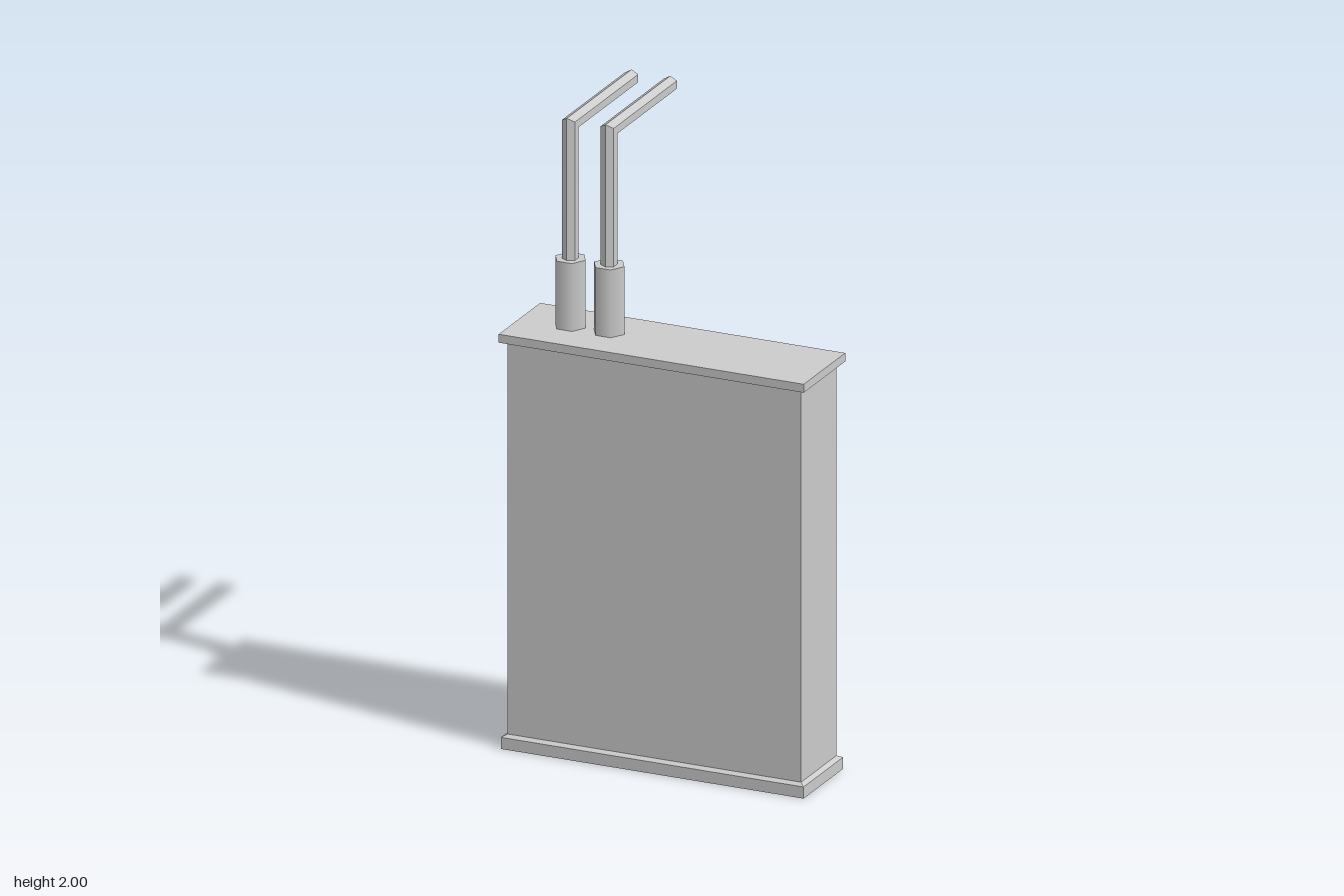
import * as THREE from 'three';

const material = new THREE.MeshStandardMaterial({ color: 0xcccccc, side: THREE.DoubleSide, flatShading: true });
const smoothMaterial = new THREE.MeshStandardMaterial({ color: 0xcccccc });

const CENTRE_Z = 0.148;

// Joins closed rings of points into an open-ended, flat-faced shell
function loft(rings) {
  const positions = [];
  const n = rings[0].length;
  for (let i = 0; i < rings.length - 1; i++) {
    for (let k = 0; k < n; k++) {
      const a = rings[i][k], b = rings[i][(k + 1) % n];
      const c = rings[i + 1][(k + 1) % n], d = rings[i + 1][k];
      for (const p of [a, b, c, a, c, d]) positions.push(...p);
    }
  }
  const geometry = new THREE.BufferGeometry();
  geometry.setAttribute('position', new THREE.Float32BufferAttribute(positions, 3));
  geometry.computeVertexNormals();
  return geometry;
}

// Rectangular ring from half width, half depth and height
function rectangle([w, d, y]) {
  return [[1, 1], [1, -1], [-1, -1], [-1, 1]].map(([sx, sz]) => [sx * w, y, CENTRE_Z + sz * d]);
}

function addMesh(parent, name, geometry, mat = material) {
  const mesh = new THREE.Mesh(geometry, mat);
  mesh.name = name;
  parent.add(mesh);
  return mesh;
}

// Six-sided pipe rising from its collar and turning back with a mitred elbow
function pipeGeometry(x) {
  const r = 0.025, z = 0.14, y = 1.975;
  const ring = (point) => Array.from({ length: 6 }, (_, k) => {
    const a = (k * Math.PI) / 3;
    return [x + r * Math.sin(a), ...point(r * Math.cos(a))];
  });
  return loft([
    ring((o) => [1.5, z + o]),
    ring((o) => [y + o, z + o]),
    ring((o) => [y + o, -0.295]),
  ]);
}

export function createModel() {
  const model = new THREE.Group();
  model.name = 'tank';

  // Hollow case, open underneath, with a flared skirt at the foot
  addMesh(model, 'bottomSkirt', loft([[0.5, 0.14, 0], [0.5, 0.14, 0.037], [0.485, 0.125, 0.045]].map(rectangle)));
  addMesh(model, 'caseWalls', loft([[0.485, 0.125, 0.045], [0.485, 0.125, 1.295]].map(rectangle)));

  // Overhanging lid with a small lip below it
  addMesh(model, 'lidRim', loft([
    [0.485, 0.125, 1.295], [0.495, 0.138, 1.3], [0.504, 0.147, 1.301], [0.504, 0.147, 1.328],
  ].map(rectangle)));
  const lid = addMesh(model, 'lidTop', new THREE.PlaneGeometry(1.008, 0.294));
  lid.rotation.x = -Math.PI / 2;
  lid.position.set(0, 1.328, CENTRE_Z);

  // Two outlets, each a hexagonal collar with a bent pipe
  for (const x of [-0.34, -0.212]) {
    const outlet = new THREE.Group();
    outlet.name = 'outlet';
    const collar = addMesh(outlet, 'collar', new THREE.CylinderGeometry(0.05, 0.05, 0.217, 6), smoothMaterial);
    collar.rotation.y = Math.PI / 6;
    collar.position.set(x, 1.4365, 0.138);
    addMesh(outlet, 'pipe', pipeGeometry(x));
    model.add(outlet);
  }
  return model;
}
